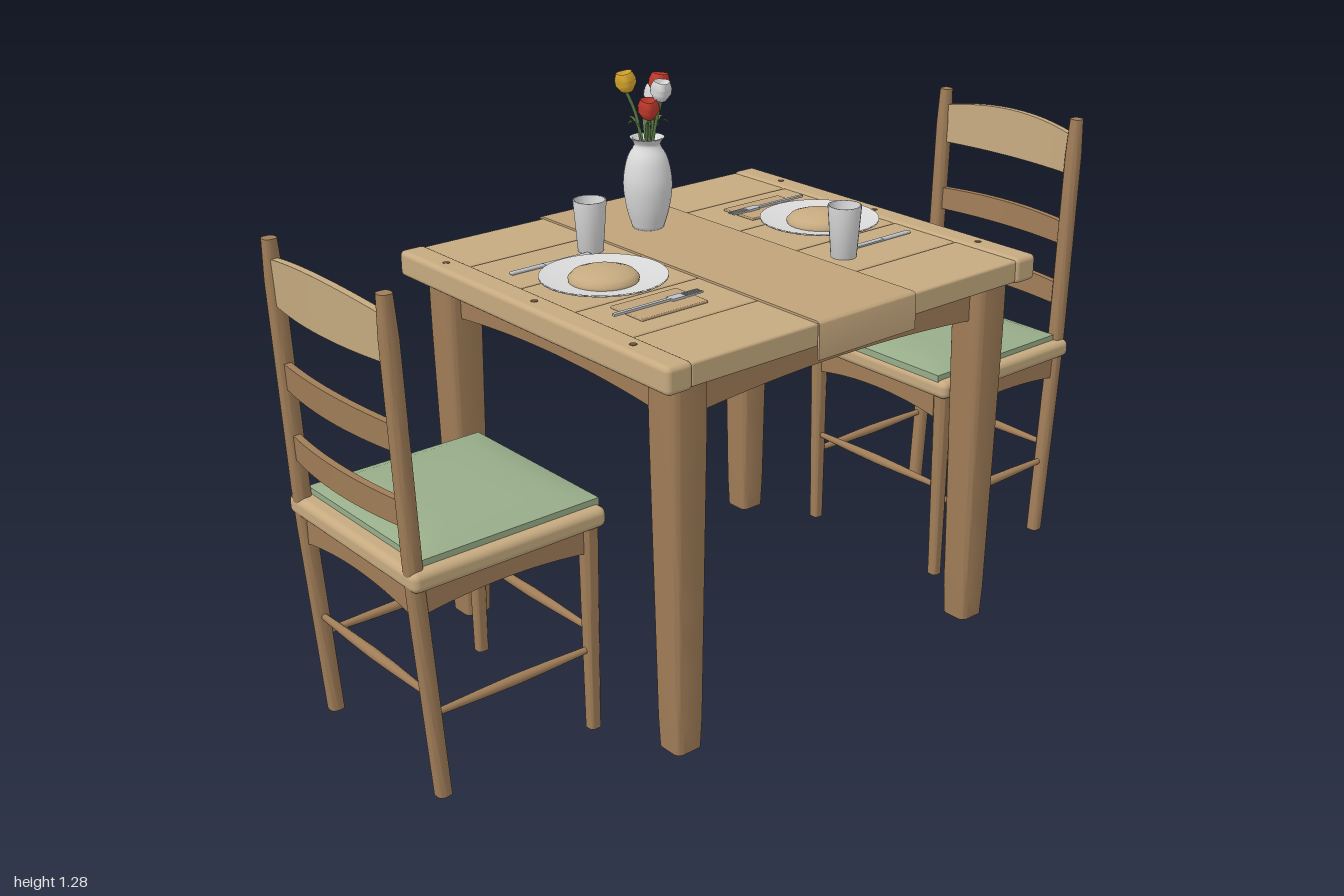
import * as THREE from 'three';
import { toCreasedNormals } from 'three/addons/utils/BufferGeometryUtils.js';
import { RoundedBoxGeometry } from 'three/addons/geometries/RoundedBoxGeometry.js';

const mat = (name, color, side = THREE.FrontSide) => {
  const m = new THREE.MeshStandardMaterial({ color, side });
  m.name = name;
  return m;
};

export function createModel() {
  const lightWood = mat('lightWood', 0xc6aa80);
  const darkWood = mat('darkWood', 0xa07d58);
  const linen = mat('linen', 0xc0a37a);
  const pegWood = mat('pegWood', 0x6f5236);
  const cushionGreen = mat('cushionGreen', 0x98ad8a);
  const porcelain = mat('porcelain', 0xdadada, THREE.DoubleSide);
  const steel = mat('steel', 0xbcc0c4);
  const red = mat('tulipRed', 0xc23a2c, THREE.DoubleSide);
  const yellow = mat('tulipYellow', 0xdba92e, THREE.DoubleSide);
  const leafGreen = mat('leafGreen', 0x5f7f4c, THREE.DoubleSide);

  const add = (parent, name, geo, material, x = 0, y = 0, z = 0) => {
    const m = new THREE.Mesh(geo, material);
    m.name = name;
    m.position.set(x, y, z);
    parent.add(m);
    return m;
  };
  const group = (parent, name) => {
    const g = new THREE.Group();
    g.name = name;
    parent.add(g);
    return g;
  };
  const rbox = (w, h, d, r) => new RoundedBoxGeometry(w, h, d, 3, r);
  const warp = (geo, rule, crease = 0.6) => {
    const p = geo.attributes.position, v = new THREE.Vector3();
    for (let i = 0; i < p.count; i++) {
      v.fromBufferAttribute(p, i);
      rule(v);
      p.setXYZ(i, v.x, v.y, v.z);
    }
    return toCreasedNormals(geo, crease);
  };
  const lathe = (pts, n = 24) => new THREE.LatheGeometry(pts.map(([r, y]) => new THREE.Vector2(r, y)), n);

  // Upright with a rounded square section, standing on y = 0, shaped by a rule
  const post = (w, h, r, rule) => {
    const a = w / 2, s = new THREE.Shape();
    s.moveTo(-a + r, -a);
    [[1, -1, -90], [1, 1, 0], [-1, 1, 90], [-1, -1, 180]].forEach(([sx, sy, deg]) => {
      const t = THREE.MathUtils.degToRad(deg);
      s.absarc(sx * (a - r), sy * (a - r), r, t, t + Math.PI / 2, false);
    });
    const g = new THREE.ExtrudeGeometry(s, { depth: h, steps: 12, bevelEnabled: false, curveSegments: 4 });
    return warp(g.rotateX(-Math.PI / 2), rule);
  };
  // Rail along x with an arched lower edge, hanging down from y = 0
  const apron = (len, drop, rise, thick) => {
    const s = new THREE.Shape();
    s.moveTo(-len / 2, 0);
    s.lineTo(-len / 2, -drop);
    s.quadraticCurveTo(0, -drop + 2 * rise, len / 2, -drop);
    s.lineTo(len / 2, 0);
    const g = new THREE.ExtrudeGeometry(s, { depth: thick, bevelEnabled: false, curveSegments: 16 });
    return toCreasedNormals(g.translate(0, 0, -thick / 2), 0.5);
  };
  // Spindle along x, swelling in the middle
  const spindle = (len) => lathe([[0.007, -len / 2], [0.0105, -len / 5], [0.012, 0], [0.0105, len / 5], [0.007, len / 2]], 10)
    .rotateZ(Math.PI / 2);

  const root = new THREE.Group();
  root.name = 'diningSet';

  // Table
  const table = group(root, 'table');
  const plankEdges = [-0.472, -0.287, -0.096, 0.096, 0.287, 0.472];
  for (let i = 0; i < 5; i++) {
    const d = plankEdges[i + 1] - plankEdges[i];
    add(table, 'plank', rbox(0.94, 0.052, d - 0.002, 0.006), lightWood, 0, 0.875, plankEdges[i] + d / 2);
  }
  for (const sx of [-1, 1]) {
    add(table, 'breadboardEnd', rbox(0.065, 0.06, 0.95, 0.012), lightWood, sx * 0.4985, 0.875, 0);
    for (const z of [-0.33, 0, 0.33])
      add(table, 'peg', new THREE.CylinderGeometry(0.008, 0.008, 0.004, 12), pegWood, sx * 0.4985, 0.904, z);
    const side = add(table, 'sideApron', apron(0.74, 0.092, 0.022, 0.025), darkWood, sx * 0.445, 0.849, 0);
    side.rotation.y = Math.PI / 2;
    add(table, 'longApron', apron(0.84, 0.092, 0.022, 0.025), darkWood, 0, 0.849, sx * 0.395);
    for (const sz of [-1, 1]) {
      const taper = (v) => {
        const k = 0.77 + 0.23 * Math.min(1, v.y / 0.75) - (v.y < 0.001 ? 0.04 : 0);
        v.x *= k;
        v.z *= k;
      };
      add(table, 'tableLeg', post(0.095, 0.85, 0.022, taper), darkWood, sx * 0.44, 0, sz * 0.393);
    }
  }

  // Runner draped over the front and back edges
  const drape = new THREE.Shape();
  drape.moveTo(-0.479, 0.823);
  drape.lineTo(-0.479, 0.895);
  drape.quadraticCurveTo(-0.479, 0.906, -0.468, 0.906);
  drape.lineTo(0.468, 0.906);
  drape.quadraticCurveTo(0.479, 0.906, 0.479, 0.895);
  drape.lineTo(0.479, 0.823);
  drape.lineTo(0.474, 0.823);
  drape.lineTo(0.474, 0.901);
  drape.lineTo(-0.474, 0.901);
  drape.lineTo(-0.474, 0.823);
  const drapeGeo = new THREE.ExtrudeGeometry(drape, { depth: 0.28, bevelEnabled: false, curveSegments: 5 });
  add(table, 'runner', toCreasedNormals(drapeGeo.translate(0, 0, -0.14).rotateY(Math.PI / 2), 0.6), linen);

  // Chair at +x facing the table; the other one is the same turned half round
  const postX = (y) => (y > 0.5 ? 0.952 + (y - 0.5) * 0.036 : 0.917 + y * 0.07);
  const buildChair = (name) => {
    const chair = group(root, name);
    add(chair, 'seat', rbox(0.465, 0.045, 0.49, 0.016), lightWood, 0.738, 0.503, 0);
    add(chair, 'cushion', warp(new THREE.BoxGeometry(0.425, 0.024, 0.44, 14, 3, 14), (v) => {
      const u = v.x / 0.2125, w = v.z / 0.22;
      const f = (1 - u ** 4) * (1 - w ** 4);
      if (v.y > 0) v.y += 0.012 * f - 0.007 * Math.max(u ** 8, w ** 8);
    }, 0.9), cushionGreen, 0.722, 0.534, 0);
    for (const sz of [-1, 1]) {
      add(chair, 'backPost', post(0.036, 1.09, 0.013, (v) => {
        const k = v.y > 1.08 ? 0.8 : 0.92 + 0.08 * Math.min(1, v.y * 2);
        v.x = v.x * k + postX(v.y);
        v.z *= k;
      }), darkWood, 0, 0, sz * 0.214);
      add(chair, 'frontLeg', post(0.038, 0.485, 0.013, (v) => {
        const k = 0.75 + 0.5 * v.y;
        v.x *= k;
        v.z *= k;
      }), darkWood, 0.535, 0, sz * 0.214);
      add(chair, 'sideApron', apron(0.39, 0.062, 0.015, 0.018), darkWood, 0.742, 0.485, sz * 0.214);
      add(chair, 'sideStretcher', spindle(0.4), darkWood, 0.733, 0.192, sz * 0.214);
    }
    for (const x of [0.535, 0.934]) {
      add(chair, 'crossStretcher', spindle(0.42), darkWood, x, 0.238, 0).rotation.y = Math.PI / 2;
      add(chair, 'crossApron', apron(0.42, 0.068, 0.022, 0.018), darkWood, x + (x > 0.9 ? 0.013 : 0), 0.485, 0)
        .rotation.y = Math.PI / 2;
    }
    // Back slats, bowed away from the sitter
    [[0.642, 0.055, 0.003], [0.8, 0.056, 0.005], [1.0, 0.096, 0.022]].forEach(([y, h, arch], i) => {
      add(chair, i === 2 ? 'topSlat' : 'backSlat', warp(new THREE.BoxGeometry(0.016, h, 0.42, 1, 2, 16), (v) => {
        const f = 1 - (v.z / 0.21) ** 2;
        if (v.y > 0) v.y += arch * f;
        v.x += postX(y + v.y) + 0.019 * f;
      }), i === 2 ? lightWood : darkWood, 0, y, 0);
    });
    return chair;
  };
  buildChair('rightHandChair');
  buildChair('leftHandChair').rotation.y = Math.PI;

  // Place setting for the +x side
  const buildSetting = (name) => {
    const s = group(root, name);
    add(s, 'plate', lathe([[0, 0.004], [0.08, 0.004], [0.139, 0.02], [0.139, 0.024], [0.085, 0.011], [0, 0.011]], 36),
      porcelain, 0.317, 0.9, 0);
    add(s, 'bread', lathe([[0.076, 0], [0.077, 0.008], [0.068, 0.018], [0.045, 0.026], [0.02, 0.029], [0, 0.03]], 28),
      lightWood, 0.317, 0.91, 0);
    add(s, 'glass', lathe([[0, 0], [0.029, 0], [0.038, 0.118], [0.034, 0.118], [0.026, 0.008], [0, 0.008]]),
      porcelain, 0.2, 0.902, 0.2);
    add(s, 'napkin', rbox(0.175, 0.006, 0.105, 0.002), linen, 0.313, 0.904, -0.183);
    // Fork
    const fork = group(s, 'fork');
    fork.position.set(0, 0.91, -0.185);
    add(fork, 'forkHandle', new THREE.BoxGeometry(0.15, 0.005, 0.009), steel, 0.36, 0, 0);
    add(fork, 'forkHead', new THREE.BoxGeometry(0.035, 0.005, 0.022), steel, 0.27, 0, 0);
    for (const z of [-0.009, -0.003, 0.003, 0.009])
      add(fork, 'tine', new THREE.BoxGeometry(0.05, 0.004, 0.003), steel, 0.23, 0, z);
    // Knife
    const knife = group(s, 'knife');
    knife.position.set(0, 0.905, 0.176);
    add(knife, 'knifeHandle', rbox(0.09, 0.007, 0.013, 0.003), steel, 0.39, 0, 0);
    add(knife, 'blade', new THREE.BoxGeometry(0.125, 0.004, 0.015), steel, 0.285, 0, 0);
  };
  buildSetting('rightHandSetting');
  buildSetting('leftHandSetting');
  root.getObjectByName('leftHandSetting').rotation.y = Math.PI;

  // Vase of tulips
  const bouquet = group(root, 'bouquet');
  const vz = -0.243;
  const outline = new THREE.SplineCurve([[0.036, 0.002], [0.05, 0.05], [0.057, 0.11], [0.048, 0.165], [0.032, 0.195],
    [0.032, 0.205], [0.04, 0.217]].map(([r, y]) => new THREE.Vector2(r, y))).getPoints(24).map((p) => [p.x, p.y]);
  add(bouquet, 'vase', lathe([[0, 0], ...outline, [0.034, 0.216], [0.027, 0.2], [0, 0.17]]), porcelain, 0, 0.904, vz);
  [[-0.045, 1.25, -0.26, yellow], [0.033, 1.24, -0.237, red], [-0.026, 1.195, -0.203, red],
    [0.047, 1.206, -0.273, porcelain], [0, 1.235, -0.19, porcelain]].forEach(([x, y, z, m]) => {
    const base = new THREE.Vector3(x * 0.2, 1.08, vz + (z - vz) * 0.2);
    const top = new THREE.Vector3(x, y - 0.02, z);
    const mid = base.clone().lerp(top, 0.55).add(new THREE.Vector3(-x * 0.15, 0.01, 0));
    add(bouquet, 'stem', new THREE.TubeGeometry(new THREE.CatmullRomCurve3([base, mid, top]), 8, 0.004, 6), leafGreen);
    const cup = lathe([[0, -0.024], [0.014, -0.02], [0.024, -0.004], [0.024, 0.008], [0.018, 0.024], [0.012, 0.01], [0, 0]], 18);
    add(bouquet, 'tulip', warp(cup, (v) => {
      const k = 1 + 0.08 * Math.cos(3 * Math.atan2(v.z, v.x));
      v.x *= k;
      v.z *= k;
    }, 0.9), m, x, y, z).rotation.set((z - vz) * 3, 0, -x * 4);
  });
  // Arching leaves around the mouth
  for (let i = 0; i < 6; i++) {
    const leaf = warp(new THREE.PlaneGeometry(0.014, 1, 2, 8), (v) => {
      const t = v.y + 0.5;
      v.x *= Math.sin(Math.PI * (0.15 + 0.83 * t));
      v.z = 0.012 + 0.045 * t ** 1.4;
      v.y = 0.065 * Math.sin(t * 2.1);
    }, 1.2);
    add(bouquet, 'leaf', leaf, leafGreen, 0, 1.1, vz).rotation.y = i * Math.PI / 3 + 0.5;
  }
  return root;
}
